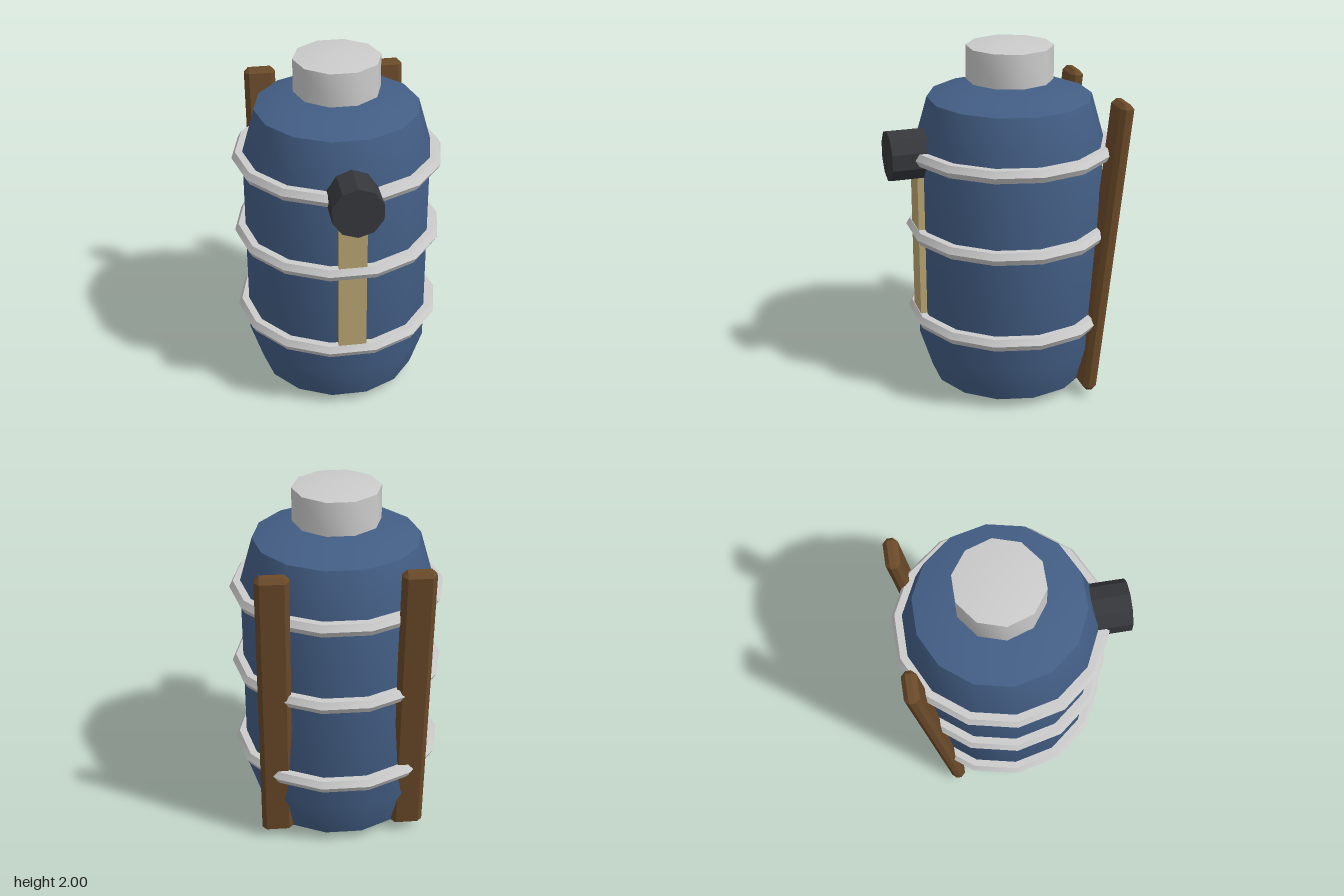
import * as THREE from 'three';
import { toCreasedNormals } from 'three/addons/utils/BufferGeometryUtils.js';
import { ConvexGeometry } from 'three/addons/geometries/ConvexGeometry.js';

const AXIS_Z = -0.06; // the barrel axis sits slightly behind the origin

const paint = (color, flatShading = false) => new THREE.MeshStandardMaterial({ color, flatShading });

// Faceted lathe with a corner on +x, smooth around and sharp at the rims
function turned(profile, sides, crease) {
  const points = profile.map(([r, y]) => new THREE.Vector2(r, y));
  return toCreasedNormals(new THREE.LatheGeometry(points, sides, Math.PI / 2), crease);
}

// Box with every edge chamfered by c
function chamferedBox(w, h, d, c) {
  const points = [];
  for (const sx of [-1, 1]) for (const sy of [-1, 1]) for (const sz of [-1, 1]) {
    for (let axis = 0; axis < 3; axis++) {
      const half = [w / 2, h / 2, d / 2].map((v, i) => (i === axis ? v : v - c));
      points.push(new THREE.Vector3(sx * half[0], sy * half[1], sz * half[2]));
    }
  }
  return new ConvexGeometry(points);
}

export function createModel() {
  const model = new THREE.Group();
  const add = (name, geometry, material, x, y, z) => {
    const mesh = new THREE.Mesh(geometry, material);
    mesh.name = name;
    mesh.position.set(x, y, z);
    model.add(mesh);
    return mesh;
  };
  const metal = paint(0xcccccc);
  const wood = paint(0x6a4a29, true);

  // Barrel body
  const bodyProfile = [[0, 0], [0.16, 0.005], [0.45, 0.06], [0.52, 0.28], [0.52, 1.45],
    [0.45, 1.695], [0.28, 1.74], [0, 1.74]];
  add('body', turned(bodyProfile, 14, 0.6), paint(0x435e85), 0, 0, AXIS_Z);

  // Lid floating just above the body
  const lidProfile = [[0, 1.75], [0.08, 1.75], [0.237, 1.785], [0.237, 1.97], [0, 2]];
  add('lid', turned(lidProfile, 10, 0.7), metal, 0, 0, AXIS_Z);

  // Hoops
  const hoop = toCreasedNormals(new THREE.TorusGeometry(0.54, 0.04, 6, 14).rotateX(Math.PI / 2), 0.6);
  [0.455, 0.96, 1.415].forEach((y, i) => add('hoop' + (i + 1), hoop, metal, 0, y, AXIS_Z));

  // Front strip
  add('frontStrip', new THREE.BoxGeometry(0.152, 0.84, 0.06), paint(0xb9a572), 0, 0.88, 0.453);

  // Spout
  const spout = new THREE.CylinderGeometry(0.14, 0.14, 0.25, 10).rotateX(Math.PI / 2);
  add('spout', spout, paint(0x35373b, true), 0, 1.412, 0.502);

  // Leaning back boards
  const board = chamferedBox(0.175, 1.68, 0.08, 0.025);
  for (const side of [-1, 1]) {
    const mesh = add(side > 0 ? 'leftBoard' : 'rightBoard', board, wood, side * 0.367, 0.877, -0.485);
    mesh.rotation.x = -0.1;
  }
  return model;
}
